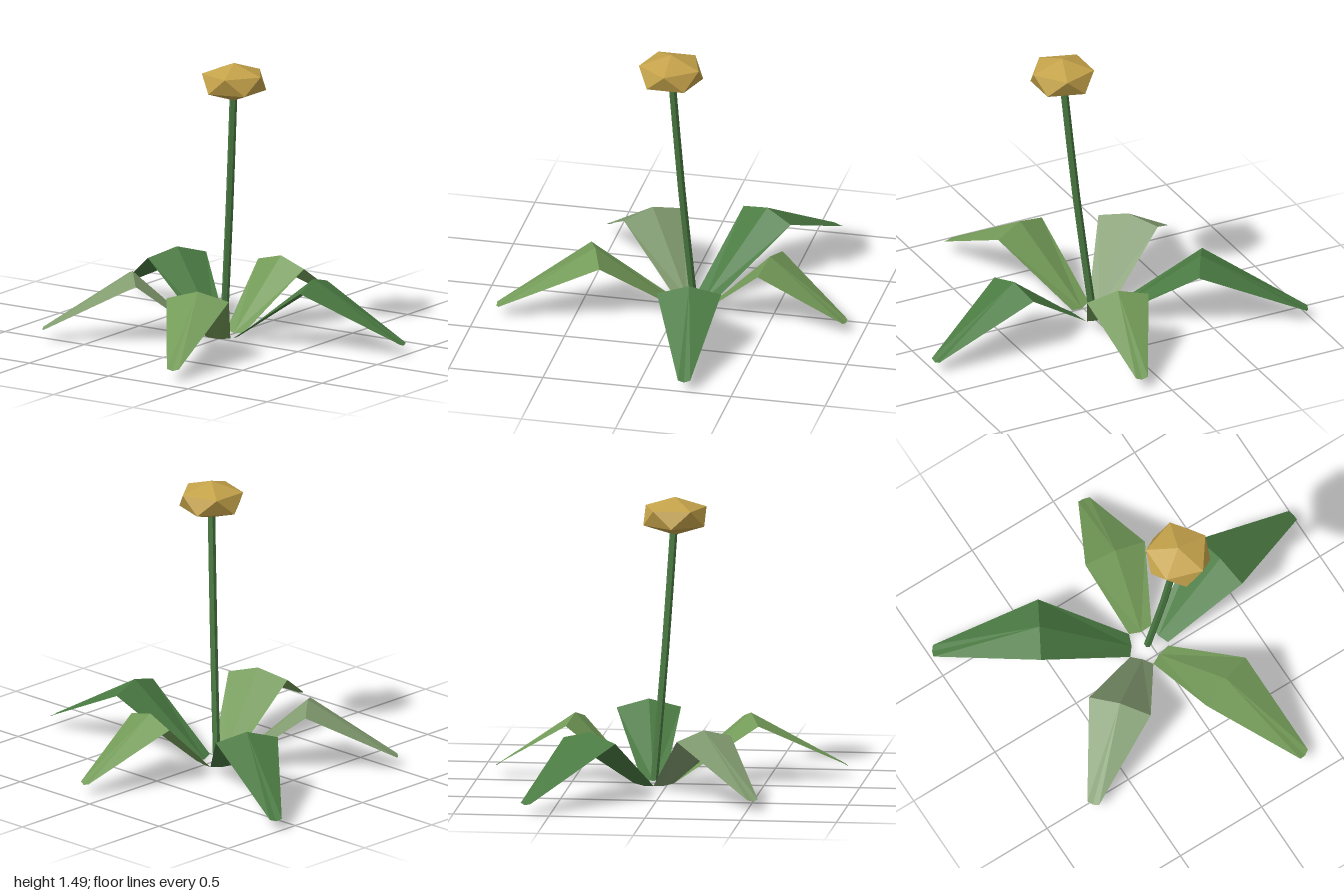
import * as THREE from 'three';
import { ConvexGeometry } from 'three/addons/geometries/ConvexGeometry.js';

const ROOT = new THREE.Vector3(-0.02, 0, -0.07);
const HEAD = new THREE.Vector3(0.113, 1.39, 0.022);

const material = (color, side = THREE.FrontSide) =>
  new THREE.MeshStandardMaterial({ color, flatShading: true, side });

// Folded leaf running along +x: each station has an edge, a centre ridge and an edge
function leafGeometry(length) {
  const stations = [ // centre x, edge x, centre y, edge y, half width
    [0.08, 0.09, 0, 0.01, 0.063],
    [length / 2, length / 2, 0.355, 0.31, 0.167],
    [length, length - 0.006, 0.052, 0.06, 0.032],
  ];
  const positions = [], indices = [];
  for (const [cx, ex, cy, ey, w] of stations) positions.push(ex, ey, -w, cx, cy, 0, ex, ey, w);
  for (let i = 0; i < 2; i++) {
    for (let j = 0; j < 2; j++) {
      const a = i * 3 + j, b = a + 3;
      // split both halves symmetrically about the ridge
      if (j === 0) indices.push(a, a + 1, b, a + 1, b + 1, b);
      else indices.push(a, a + 1, b + 1, a, b + 1, b);
    }
  }
  const geometry = new THREE.BufferGeometry();
  geometry.setAttribute('position', new THREE.Float32BufferAttribute(positions, 3));
  geometry.setIndex(indices);
  geometry.computeVertexNormals();
  return geometry;
}

// Flattened icosahedron standing on a pole, with two staggered rings of five
function flowerGeometry(radius, halfHeight) {
  const points = [new THREE.Vector3(0, halfHeight, 0), new THREE.Vector3(0, -halfHeight, 0)];
  for (let i = 0; i < 10; i++) {
    const a = (i * Math.PI) / 5;
    const y = (i % 2 ? -1 : 1) * halfHeight * 0.447;
    points.push(new THREE.Vector3(Math.cos(a) * radius, y, Math.sin(a) * radius));
  }
  return new ConvexGeometry(points);
}

export function createModel() {
  const model = new THREE.Group();
  model.name = 'flowerPlant';
  const add = (name, geometry, mat) => {
    const mesh = new THREE.Mesh(geometry, mat);
    mesh.name = name;
    model.add(mesh);
    return mesh;
  };

  // Leaves, each turned 70 degrees from the last
  const dark = 0x4a7a42, mid = 0x739a58, pale = 0x829c70;
  const leaves = [[1.033, dark], [0.855, mid], [1.115, dark], [0.94, pale], [1.031, mid]];
  leaves.forEach(([length, color], i) => {
    const leaf = add(`leaf${i + 1}`, leafGeometry(length), material(color, THREE.DoubleSide));
    leaf.position.copy(ROOT);
    leaf.rotation.y = THREE.MathUtils.degToRad(10 + 70 * i);
  });

  // Slightly bowed stem
  const path = new THREE.CatmullRomCurve3([
    new THREE.Vector3(ROOT.x + 0.005, 0.02, ROOT.z),
    new THREE.Vector3(0.053, 0.68, -0.022),
    new THREE.Vector3(HEAD.x - 0.005, 1.34, HEAD.z - 0.004),
  ]);
  add('stem', new THREE.TubeGeometry(path, 4, 0.02, 6), material(0x4a7a42, THREE.DoubleSide));

  // Flower head
  add('flowerHead', flowerGeometry(0.167, 0.1), material(0xc4a24a)).position.copy(HEAD);

  return model;
}
